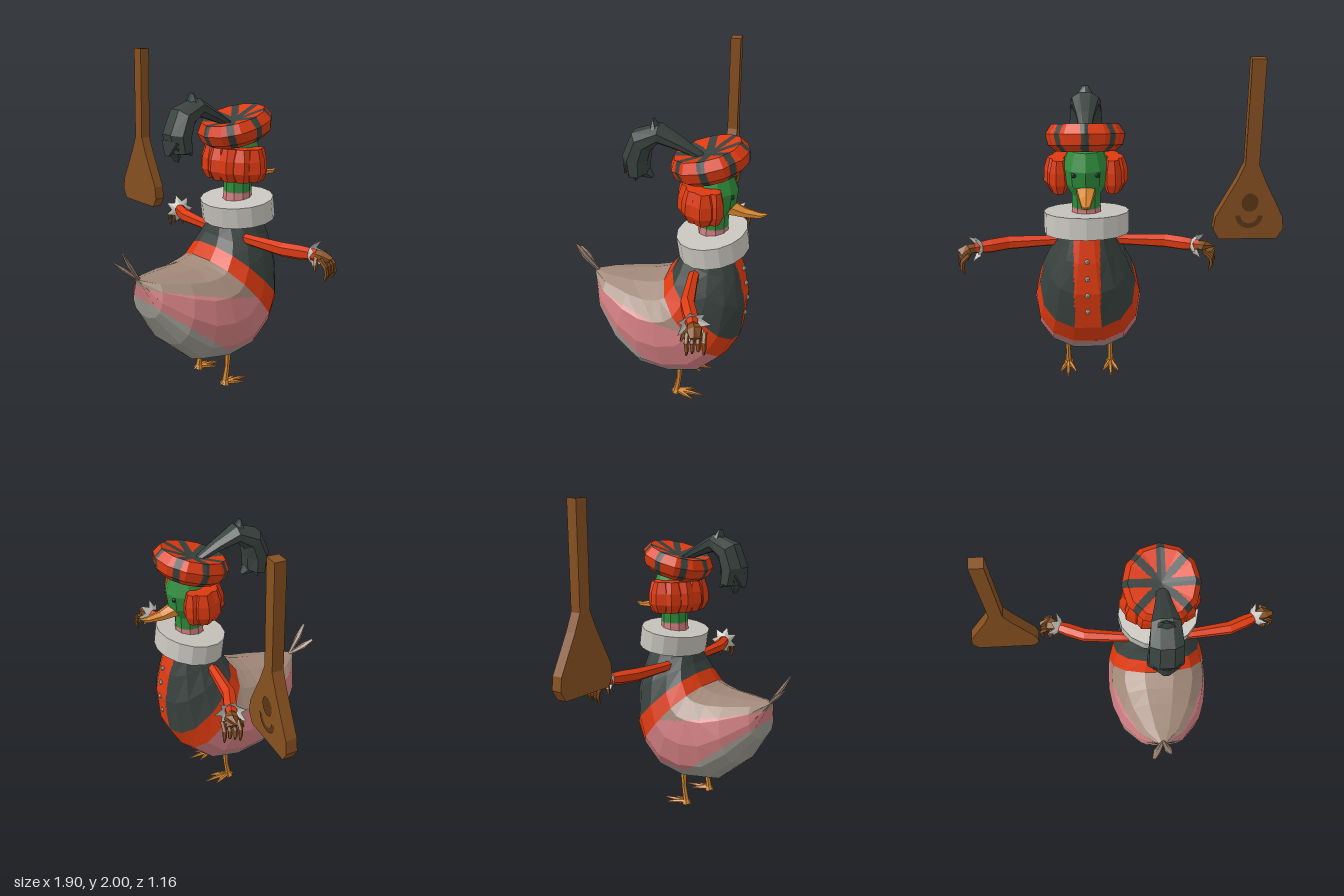
import * as THREE from 'three';

const V = (x, y, z) => new THREE.Vector3(x, y, z);
const mat = (name, color) => Object.assign(new THREE.MeshStandardMaterial({ color }), { name });
const red = mat('red cloth', 0xdc3a10), dark = mat('dark cloth', 0x38413e), taupe = mat('taupe feathers', 0xa08778),
  pink = mat('pink feathers', 0xcf7d80), grey = mat('grey feathers', 0x9b998f), white = mat('white linen', 0xc6c4bc),
  green = mat('green feathers', 0x2f8c3c), orange = mat('orange skin', 0xd68630), brown = mat('brown wood', 0x865020),
  deep = mat('deep brown', 0x5a3616);

function add(parent, name, geo, material, pos = [0, 0, 0], rot = [0, 0, 0], scale = [1, 1, 1]) {
  const g = geo.index ? geo.toNonIndexed() : geo;
  g.computeVertexNormals(); // one normal per facet
  const m = new THREE.Mesh(g, material);
  m.name = name;
  m.position.set(...pos);
  m.rotation.set(...rot);
  m.scale.set(...scale);
  parent.add(m);
  return m;
}

// Closed skin over a list of point rings, always facing outward
function loft(rings) {
  const n = rings[0].length, tris = [];
  const mid = r => r.reduce((a, p) => a.add(p), V(0, 0, 0)).divideScalar(n);
  const first = mid(rings[0]), last = mid(rings[rings.length - 1]);
  for (let j = 0; j < n; j++) {
    const k = (j + 1) % n;
    tris.push([first, rings[0][k], rings[0][j]]);
    for (let i = 0; i + 1 < rings.length; i++) {
      const [a, b, c, d] = [rings[i][j], rings[i][k], rings[i + 1][k], rings[i + 1][j]];
      tris.push([a, b, c], [a, c, d]);
    }
    const e = rings[rings.length - 1];
    tris.push([last, e[j], e[k]]);
  }
  const volume = tris.reduce((s, [a, b, c]) => s + a.dot(b.clone().cross(c)), 0);
  const out = [];
  for (const [a, b, c] of tris) for (const p of volume < 0 ? [a, c, b] : [a, b, c]) out.push(p.x, p.y, p.z);
  return new THREE.BufferGeometry().setAttribute('position', new THREE.Float32BufferAttribute(out, 3));
}

// Limb along a path; each stop is [x, y, z, radius, optional sideways radius]
function limb(stops, sides = 6) {
  const c = stops.map(s => V(s[0], s[1], s[2]));
  return loft(stops.map((s, i) => {
    const t = c[Math.min(i + 1, c.length - 1)].clone().sub(c[Math.max(i - 1, 0)]).normalize();
    const u = Math.abs(t.x) > 0.8 ? V(0, 0, 1) : V(1, 0, 0);
    u.addScaledVector(t, -u.dot(t)).normalize();
    const v = t.clone().cross(u);
    return Array.from({ length: sides }, (_, j) => {
      const a = (j + 0.5) / sides * Math.PI * 2;
      return c[i].clone().addScaledVector(u, Math.cos(a) * (s[4] ?? s[3])).addScaledVector(v, Math.sin(a) * s[3]);
    });
  }));
}

// Splits each facet into small flat pieces and groups them by colour rule
function paint(geo, count, rule, n = 8) {
  const p = (geo.index ? geo.toNonIndexed() : geo).attributes.position;
  const bins = Array.from({ length: count }, () => []);
  for (let t = 0; t < p.count; t += 3) {
    const [a, b, c] = [0, 1, 2].map(k => V().fromBufferAttribute(p, t + k));
    const at = (i, j) => a.clone().addScaledVector(b, i / n).addScaledVector(c, j / n).addScaledVector(a, -(i + j) / n);
    const put = (q, r, s) => {
      const m = q.clone().add(r).add(s).divideScalar(3);
      for (const w of [q, r, s]) bins[rule(m)].push(w.x, w.y, w.z);
    };
    for (let i = 0; i < n; i++) for (let j = 0; i + j < n; j++) {
      put(at(i, j), at(i + 1, j), at(i, j + 1));
      if (i + j < n - 1) put(at(i + 1, j), at(i + 1, j + 1), at(i, j + 1));
    }
  }
  const out = new THREE.BufferGeometry();
  out.setAttribute('position', new THREE.Float32BufferAttribute(bins.flat(), 3));
  let start = 0;
  bins.forEach((bin, k) => { out.addGroup(start, bin.length / 3, k); start += bin.length / 3; });
  return out;
}

const lathe = (pts, sides) => new THREE.LatheGeometry(pts.map(p => new THREE.Vector2(...p)), sides);

function addBody(duck) {
  // Each slice: upper z, y, lower z, y, half width
  const slices = [[0.46, 0.765, 0.45, 0.745, 0.02], [0.36, 0.765, 0.41, 0.53, 0.15], [0.2, 0.77, 0.29, 0.35, 0.26],
    [0.1, 0.78, 0.13, 0.215, 0.305], [0.04, 0.795, -0.06, 0.19, 0.325], [0.02, 0.803, -0.26, 0.23, 0.325],
    [0, 0.81, -0.4, 0.36, 0.315], [-0.05, 0.885, -0.47, 0.49, 0.285], [-0.08, 0.94, -0.49, 0.72, 0.235],
    [-0.1, 1.0, -0.46, 0.9, 0.175], [-0.12, 1.06, -0.42, 1.03, 0.135]];
  const soft = v => Math.sign(v) * Math.abs(v) ** 0.85;
  const rings = slices.map(([tz, ty, bz, by, w]) => Array.from({ length: 14 }, (_, j) => {
    const a = (j + 0.5) / 14 * Math.PI * 2, k = soft(Math.cos(a)) / soft(Math.cos(Math.PI / 14));
    return V(w * soft(Math.sin(a)), (ty + by) / 2 + (ty - by) / 2 * k, (tz + bz) / 2 + (tz - bz) / 2 * k);
  }));
  const rule = ({ x, y, z }) => {
    if (y - 0.885 - 0.94 * (z + 0.05) > 0) return z < -0.2 && Math.abs(x) < 0.075 ? 0 : 1;
    if (y - 0.81 - 1.125 * z > 0) return 0;
    if (y > 0.64 + 0.18 * z) return 2;
    return y < 0.3 + 0.78 * Math.max(z, 0) ? 4 : 3;
  };
  add(duck, 'body and jacket', paint(loft(rings), 5, rule), [red, dark, taupe, pink, grey]);
  for (const [y, z] of [[0.6, -0.48], [0.71, -0.49], [0.81, -0.478], [0.91, -0.46]])
    add(duck, 'button', new THREE.IcosahedronGeometry(0.016, 0), white, [0, y, z]);
  add(duck, 'collar', new THREE.CylinderGeometry(0.245, 0.245, 0.125, 16), white, [0, 1.085, -0.275], [0.15, 0, 0], [1, 1, 0.84]);
  for (const [x, y, z] of [[-0.07, 0.87, 0.575], [0.03, 0.94, 0.565]])
    add(duck, 'tail feather', limb([[0, 0.755, 0.44, 0.01], [x * 0.65, 0.755 + (y - 0.755) * 0.6, 0.52, 0.014, 0.025],
      [x, y, z, 0.004, 0.012]]), taupe);
}

function addHead(duck) {
  const head = lathe([[0, 1], [0.095, 1.08], [0.085, 1.18], [0.085, 1.26], [0.125, 1.33], [0.135, 1.42], [0.1, 1.52], [0, 1.55]], 10);
  add(duck, 'head and neck', paint(head, 2, p => (p.y < 1.185 ? 1 : 0)), [green, pink], [0, 0, -0.275]);
  add(duck, 'beak', limb([[0, 1.305, -0.36, 0.045, 0.06], [0, 1.28, -0.45, 0.026, 0.042], [0, 1.272, -0.54, 0.015, 0.026],
    [0, 1.285, -0.58, 0.004, 0.008]]), orange);
  for (const s of [-1, 1]) add(duck, 'eye', new THREE.IcosahedronGeometry(0.016, 0), dark, [s * 0.065, 1.4, -0.385]);

  // Hair: a row of curls round the back and sides
  const curl = lathe([[0, -0.1], [0.045, -0.095], [0.075, -0.04], [0.072, 0.03], [0.05, 0.1], [0, 0.1]], 7);
  for (let i = -4; i <= 4; i++) {
    const a = i * 0.5, edge = Math.abs(i) === 4 ? 0.75 : 1;
    add(duck, 'hair curl', curl, red, [Math.sin(a) * 0.165, 1.365, -0.255 + Math.cos(a) * 0.115], [0, a, 0], [edge, 1, edge]);
  }

  // Beret with spokes
  const hat = lathe([[0, -0.06], [0.17, -0.07], [0.215, -0.035], [0.23, 0.025], [0.195, 0.08], [0, 0.045]], 12);
  const spoke = ({ x, z }) => {
    const step = Math.PI / 4, a = Math.atan2(x, z);
    return Math.hypot(x, z) * Math.abs(Math.sin(a - Math.round(a / step) * step)) < 0.022 ? 1 : 0;
  };
  add(duck, 'beret', paint(hat, 2, spoke, 12), [red, dark], [0, 1.57, -0.25], [0.28, 0, 0], [0.97, 1, 1]);

  // Curled plume with ragged tips
  add(duck, 'plume', limb([[0, 1.585, -0.22, 0.015, 0.03], [0, 1.655, -0.08, 0.035, 0.055], [0, 1.71, 0.04, 0.055, 0.085],
    [0, 1.66, 0.14, 0.075, 0.1], [0, 1.56, 0.175, 0.08, 0.105], [0, 1.47, 0.165, 0.065, 0.11]], 8), dark);
  for (const [y0, z0, y1, z1] of [[1.7, 0.06, 1.79, 0.075], [1.5, 0.2, 1.41, 0.18], [1.49, 0.15, 1.44, 0.08], [1.52, 0.21, 1.45, 0.245]])
    add(duck, 'plume tip', limb([[0, y0, z0, 0.045, 0.085], [0, y1, z1, 0.004, 0.02]]), dark);
}

function addArm(duck, s) {
  add(duck, 'sleeve', limb([[s * 0.1, 0.93, -0.2, 0.03], [s * 0.22, 0.932, -0.205, 0.033], [s * 0.46, 0.932, -0.23, 0.042],
    [s * 0.56, 0.932, -0.27, 0.042], [s * 0.65, 0.935, -0.305, 0.032]]), red);
  // Pointed ruffle: flared ring with every other rim point pulled in
  const ruffle = new THREE.CylinderGeometry(0.095, 0.035, 0.05, 14, 1, true), p = ruffle.attributes.position;
  for (let i = 0; i < p.count; i++) if (p.getY(i) > 0 && (i % 15) % 2) p.setXYZ(i, p.getX(i) * 0.6, -0.005, p.getZ(i) * 0.6);
  const cuff = add(duck, 'cuff', ruffle, whiteBoth, [s * 0.635, 0.935, -0.3]);
  cuff.quaternion.setFromUnitVectors(V(0, 1, 0), V(s * 0.9, 0, -0.42).normalize());
  add(duck, 'glove', limb([[s * 0.63, 0.935, -0.297, 0.026], [s * 0.68, 0.935, -0.32, 0.032, 0.045],
    [s * 0.715, 0.905, -0.335, 0.024, 0.05]]), brown);
  for (let i = 0; i < 4; i++) {
    const z = -0.285 - i * 0.029, x = 0.735 - i * 0.008;
    add(duck, 'finger', limb([[s * (x - 0.04), 0.925, z, 0.014], [s * x, 0.885, z - 0.004, 0.014],
      [s * (x + 0.005), 0.845, z - 0.008, 0.012], [s * (x - 0.008), 0.805 + (i % 3) * 0.012, z - 0.004, 0.006]], 5), brown);
  }
  add(duck, 'thumb', limb([[s * 0.66, 0.925, -0.29, 0.015], [s * 0.685, 0.89, -0.26, 0.013], [s * 0.69, 0.86, -0.25, 0.006]], 5), brown);
}
const whiteBoth = mat('white ruffle', 0xc6c4bc);
whiteBoth.side = THREE.DoubleSide;

function addLeg(duck, s) {
  const x = s * 0.135;
  add(duck, 'leg', limb([[x, 0.24, -0.11, 0.022], [x, 0.12, -0.105, 0.016], [x, 0.03, -0.09, 0.02], [x, 0.004, -0.085, 0.028, 0.034]]), orange);
  for (const [dx, z] of [[-0.05, -0.2], [0, -0.26], [0.05, -0.2], [0, -0.055]])
    add(duck, 'toe', limb([[x, 0.018, -0.09, 0.015], [x + dx * 0.6, 0.014, -0.09 + (z + 0.09) * 0.6, 0.011, 0.013],
      [x + dx, 0.007, z, 0.004]], 5), orange);
}

function addPaddle(model) {
  const paddle = new THREE.Group();
  paddle.name = 'paddle';
  paddle.position.set(-0.747, 0, -0.24);
  const half = [[0.04, 2], [0.04, 1.4], [0.083, 1.3], [0.197, 1.08], [0.207, 1], [0.172, 0.94]];
  const outline = [...half, ...half.map(([x, y]) => [-x, y]).reverse()].map(p => new THREE.Vector2(...p));
  add(paddle, 'handle and blade', new THREE.ExtrudeGeometry(new THREE.Shape(outline), { depth: 0.065, bevelEnabled: false }), brown);
  // Dark inlay on one face of the blade
  add(paddle, 'oval inlay', new THREE.CircleGeometry(0.05, 14), deep, [0, 1.17, -0.003], [0, Math.PI, 0], [1, 1.15, 1]);
  add(paddle, 'curved inlay', new THREE.RingGeometry(0.05, 0.08, 12, 1, Math.PI, Math.PI), deep, [0, 1.09, -0.003], [0, Math.PI, 0]);
  model.add(paddle);
}

export function createModel() {
  const model = new THREE.Group();
  model.name = 'dressed duck with paddle';
  const duck = new THREE.Group();
  duck.name = 'duck';
  duck.position.x = 0.2;
  model.add(duck);
  addBody(duck);
  addHead(duck);
  for (const s of [-1, 1]) {
    addArm(duck, s);
    addLeg(duck, s);
  }
  addPaddle(model);
  return model;
}
